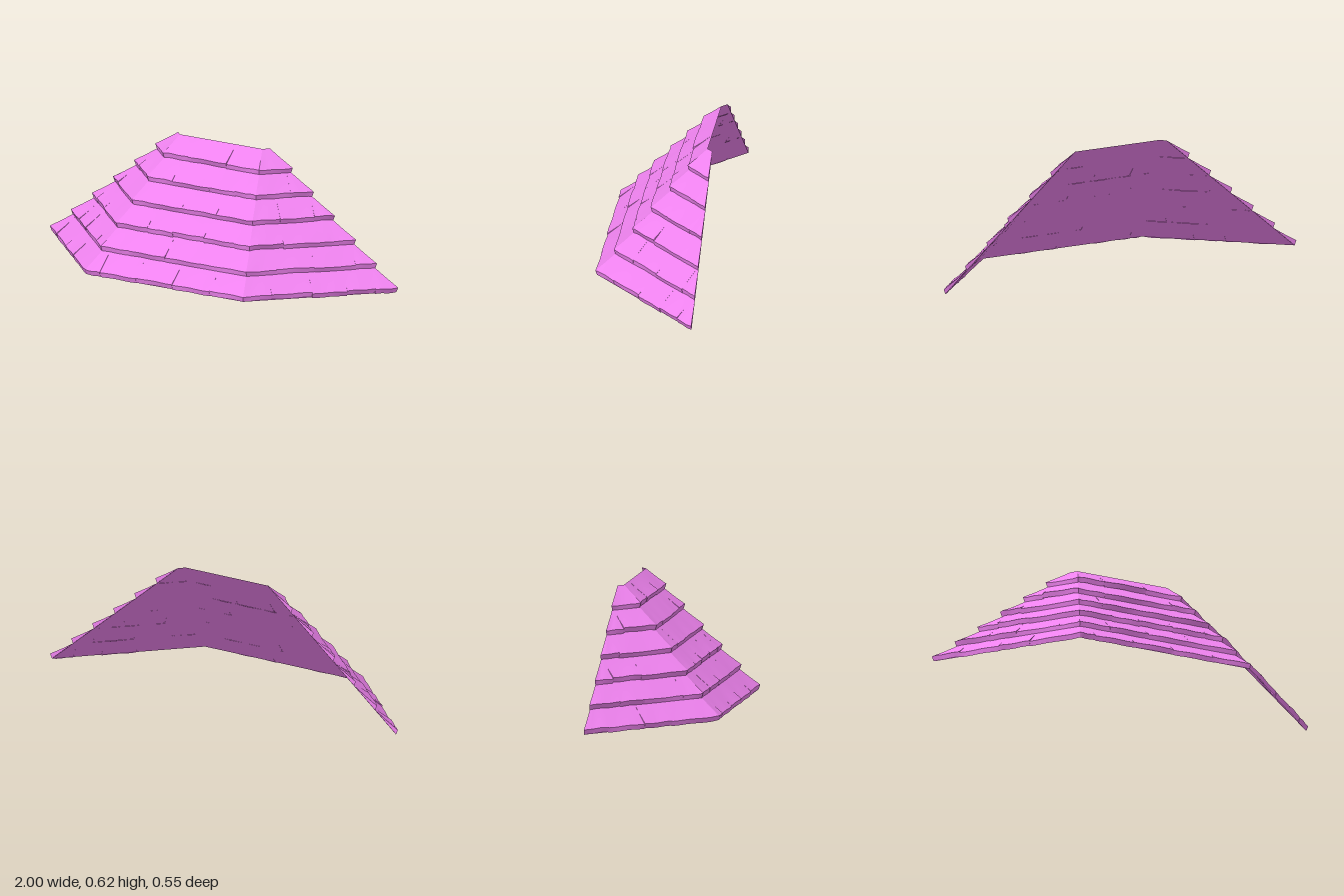
import * as THREE from 'three';
import { toCreasedNormals } from 'three/addons/utils/BufferGeometryUtils.js';

const ROWS = 6, STEP = 0.0855, RISE = 0.1022, BASE = 0.004, BACK = -0.275;
const FRONT = 0.265, CORNER = 0.45, TAN = Math.tan(Math.PI / 8), R = Math.SQRT1_2;

let seed = 7;
const rand = () => (seed = (seed * 16807) % 2147483647) / 2147483647;
const jitter = (a) => (rand() * 2 - 1) * a;

// Each roof slope: outward direction in plan, distance at the eave, and extent
// along the eave for a given inward offset d (hips mitred, sides cut at the back)
const hip = (d) => ((CORNER - TAN * d) - (FRONT - d)) * R;
const rear = (d) => (CORNER + FRONT - d / R - 2 * BACK) * R;
const slopes = [
  { name: 'frontSlope', n: [0, 1], dist: FRONT, range: (d) => [-(CORNER - TAN * d), CORNER - TAN * d] },
  { name: 'leftSlope', n: [R, R], dist: (CORNER + FRONT) * R, range: (d) => [hip(d), rear(d)] },
  { name: 'rightSlope', n: [-R, R], dist: (CORNER + FRONT) * R, range: (d) => [-rear(d), -hip(d)] },
];

function place(slope, s, d, y) {
  const [nx, nz] = slope.n, k = slope.dist - d;
  return [nx * k + nz * s, y, nz * k - nx * s];
}

function toGeometry(positions) {
  const g = new THREE.BufferGeometry();
  g.setAttribute('position', new THREE.Float32BufferAttribute(positions, 3));
  return toCreasedNormals(g, 0.6);
}

// One wedge-shaped shingle between seams a and b, thick at its lower edge
function addShingle(out, slope, row, a, b) {
  const N = 6, d0 = row * STEP, y0 = BASE + row * RISE;
  const lift = jitter(0.003), drop = jitter(0.004), phase = rand() * 6;
  const [lo, hi] = slope.range(d0);
  const grid = [];
  for (let i = 0; i <= N; i++) {
    const t = i / N;
    const atEnd = (i === 0 && a <= lo) || (i === N && b >= hi);
    const j = atEnd ? 0 : lift + 0.0015 * Math.sin(phase + t * 5);
    const dy = atEnd ? 0 : Math.max(drop + 0.0015 * Math.sin(phase + t * 8), -0.004);
    const section = [
      [d0, y0 + dy],
      [d0 - 0.007 - j, y0 + 0.024 + dy],
      [d0 + STEP * 0.48 - j * 0.5, y0 + 0.024 + (RISE - 0.024) * 0.5],
      [d0 + STEP, y0 + RISE],
    ];
    grid.push(section.map(([d, y]) => {
      const [l, h] = slope.range(d);
      const sa = a <= lo ? l : THREE.MathUtils.clamp(a, l, h);
      const sb = b >= hi ? h : THREE.MathUtils.clamp(b, l, h);
      return place(slope, sa + (sb - sa) * t, d, y);
    }));
  }
  for (let i = 0; i < N; i++) {
    for (let v = 0; v < 3; v++) {
      const p = grid[i][v], q = grid[i + 1][v], r = grid[i + 1][v + 1], u = grid[i][v + 1];
      out.push(...p, ...q, ...r, ...p, ...r, ...u);
    }
  }
  // closed ends at the seams
  const [A, B] = [grid[0], grid[N]];
  out.push(...A[0], ...A[1], ...A[2], ...A[0], ...A[2], ...A[3]);
  out.push(...B[0], ...B[2], ...B[1], ...B[0], ...B[3], ...B[2]);
}

export function createModel() {
  const roof = new THREE.Group();
  roof.name = 'bayRoof';
  const material = new THREE.MeshStandardMaterial({ color: 0xee82ee, side: THREE.DoubleSide });

  for (const slope of slopes) {
    const group = new THREE.Group();
    group.name = slope.name;

    // overlapping courses of shingles with staggered seams
    for (let row = 0; row < ROWS; row++) {
      const [lo, hi] = slope.range(row * STEP);
      const positions = [];
      let a = lo, width = 0.08 + rand() * 0.1;
      while (a < hi) {
        const b = hi - a - width < 0.08 ? hi : a + width;
        addShingle(positions, slope, row, a, b);
        a = b;
        width = 0.14 + rand() * 0.09;
      }
      const course = new THREE.Mesh(toGeometry(positions), material);
      course.name = 'shingleCourse' + (row + 1);
      group.add(course);
    }

    // smooth flat underside
    const D = ROWS * STEP, top = BASE + ROWS * RISE;
    const [l0, h0] = slope.range(0), [l1, h1] = slope.range(D);
    const p = place(slope, l0, 0.001, BASE), q = place(slope, h0, 0.001, BASE);
    const r = place(slope, h1, D + 0.001, top), u = place(slope, l1, D + 0.001, top);
    const under = new THREE.Mesh(toGeometry([...p, ...r, ...q, ...p, ...u, ...r]), material);
    under.name = 'underside';
    group.add(under);
    roof.add(group);
  }
  return roof;
}
